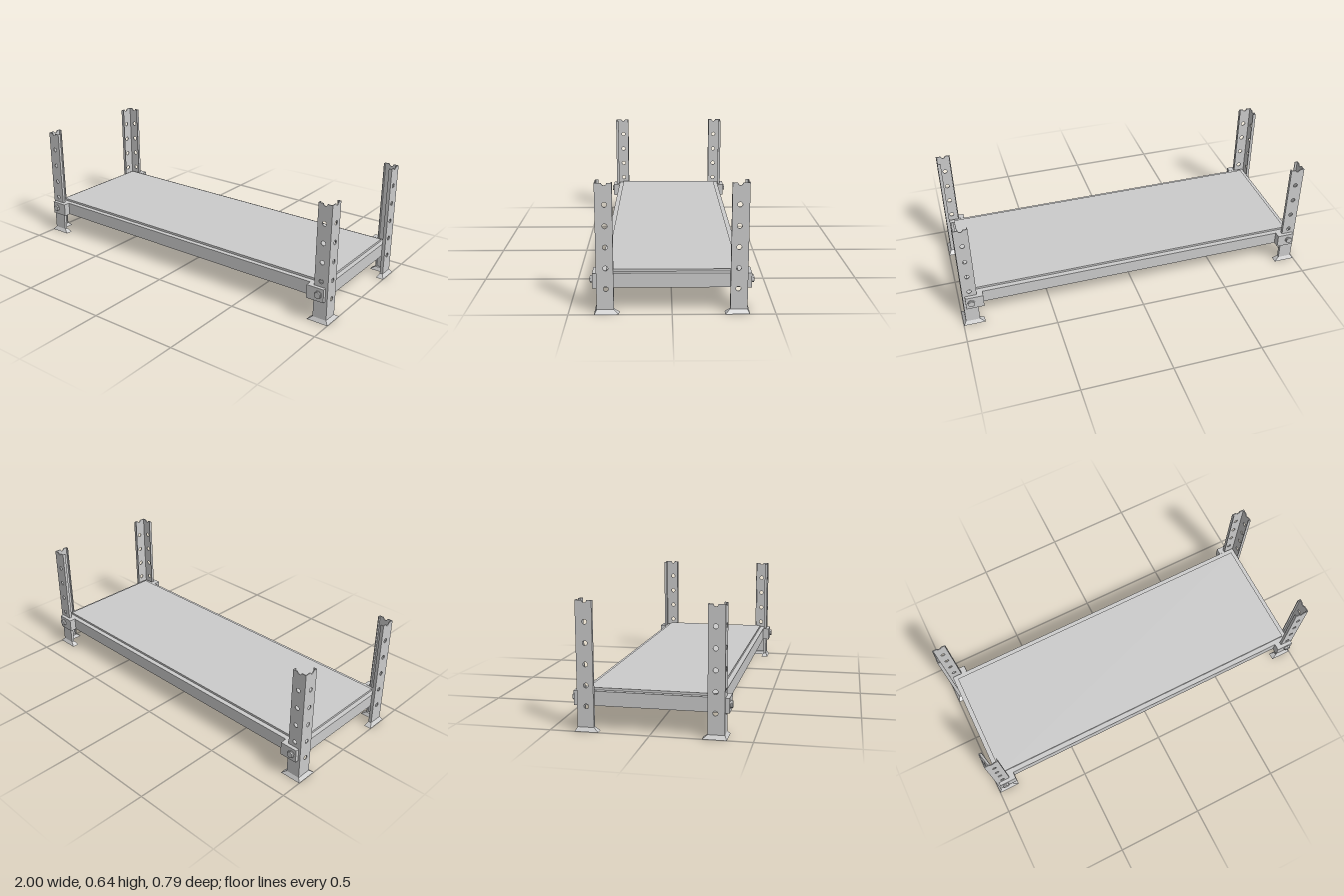
import * as THREE from 'three';

const material = new THREE.MeshStandardMaterial({ color: 0xcccccc, flatShading: true, side: THREE.DoubleSide });
const SHEET = 0.005, FOOT = 0.02, TOP = 0.645, HOLE = 0.012;
const HOLES = [0.125, 0.229, 0.333, 0.437, 0.541];

// Box given by its minimum and maximum corners
function box(x0, x1, y0, y1, z0, z1) {
  return new THREE.BoxGeometry(x1 - x0, y1 - y0, z1 - z0)
    .translate((x0 + x1) / 2, (y0 + y1) / 2, (z0 + z1) / 2);
}

// Perforated strip from a to b, holes at c, half a hole notched into the top
function strip(a, b, c) {
  const s = new THREE.Shape();
  s.moveTo(a, FOOT);
  s.lineTo(b, FOOT);
  s.lineTo(b, TOP);
  s.lineTo(c + HOLE, TOP);
  s.absarc(c, TOP, HOLE, 0, -Math.PI, true);
  s.lineTo(a, TOP);
  for (const y of HOLES) {
    const h = new THREE.Path();
    h.absarc(c, y, HOLE, 0, Math.PI * 2, true);
    s.holes.push(h);
  }
  return new THREE.ExtrudeGeometry(s, { depth: SHEET, bevelEnabled: false, curveSegments: 10 });
}

// L outline in x and z: outer corner, arm ends, inner corner
function outline(x0, x1, z0, z1, tx, tz) {
  return [[x1, z1], [x1, z0], [x1 - tx, z0], [x1 - tx, z1 - tz], [x0, z1 - tz], [x0, z1]];
}

// Flared L-shaped foot lofted between two outlines
function footGeometry() {
  const low = outline(0.88, 1.0, 0.255, 0.375, 0.042, 0.04);
  const high = outline(0.907, 0.985, 0.28, 0.363, 0.018, 0.018);
  const pos = [], index = [];
  for (const [x, z] of low) pos.push(x, 0, z);
  for (const [x, z] of high) pos.push(x, FOOT, z);
  for (let i = 0; i < 6; i++) {
    const j = (i + 1) % 6;
    index.push(i, j, j + 6, i, j + 6, i + 6);
  }
  for (const [a, b, c] of [[0, 1, 2], [0, 2, 3], [0, 3, 4], [0, 4, 5]]) {
    index.push(a, c, b, a + 6, b + 6, c + 6);
  }
  const g = new THREE.BufferGeometry();
  g.setAttribute('position', new THREE.Float32BufferAttribute(pos, 3));
  g.setIndex(index);
  return g;
}

// Copy into another corner, restoring the winding after a single mirror
function mirrored(geometry, sx, sz) {
  const g = geometry.index ? geometry.toNonIndexed() : geometry.clone();
  const p = g.attributes.position;
  for (let i = 0; i < p.count; i++) p.setXYZ(i, p.getX(i) * sx, p.getY(i), p.getZ(i) * sz);
  if (sx * sz < 0) {
    const a = new THREE.Vector3(), b = new THREE.Vector3();
    for (let i = 0; i < p.count; i += 3) {
      a.fromBufferAttribute(p, i + 1);
      b.fromBufferAttribute(p, i + 2);
      p.setXYZ(i + 1, b.x, b.y, b.z);
      p.setXYZ(i + 2, a.x, a.y, a.z);
    }
  }
  g.computeVertexNormals();
  return g;
}

export function createModel() {
  const model = new THREE.Group();
  model.name = 'shelfUnit';
  const add = (parent, name, geometry) => {
    const mesh = new THREE.Mesh(geometry, material);
    mesh.name = name;
    parent.add(mesh);
  };

  // Shelf: deep tray with a slightly smaller raised deck
  add(model, 'shelfFrame', box(-0.965, 0.965, 0.125, 0.198, -0.345, 0.345));
  add(model, 'shelfDeck', box(-0.94, 0.94, 0.198, 0.21, -0.318, 0.318));

  // Parts of the front left corner
  const sidePlate = strip(-0.363, -0.28, -0.317).rotateY(Math.PI / 2).translate(0.98, 0, 0);
  const bolt = (r, sides, z0, z1) => new THREE.CylinderGeometry(r, r, z1 - z0, sides)
    .rotateX(Math.PI / 2).translate(0.943, 0.163, (z0 + z1) / 2);
  const parts = {
    postFrontPlate: strip(0.907, 0.985, 0.945).translate(0, 0, 0.363 - SHEET),
    postSidePlate: sidePlate,
    postFrontLip: box(0.907, 0.907 + SHEET, FOOT, TOP, 0.346, 0.363),
    postSideLip: box(0.967, 0.985, FOOT, TOP, 0.28, 0.28 + SHEET),
    foot: footGeometry(),
    bracketPlate: box(0.875, 0.973, 0.125, 0.199, 0.363, 0.383),
    bracketSpacer: box(0.875, 0.907, 0.125, 0.199, 0.345, 0.363),
    boltWasher: bolt(0.02, 20, 0.383, 0.386),
    boltHead: bolt(0.019, 6, 0.386, 0.395),
  };

  // Repeat at all four corners
  for (const sx of [1, -1]) {
    for (const sz of [1, -1]) {
      const corner = new THREE.Group();
      corner.name = (sz > 0 ? 'front' : 'back') + (sx > 0 ? 'Left' : 'Right') + 'Corner';
      for (const [name, g] of Object.entries(parts)) add(corner, name, mirrored(g, sx, sz));
      model.add(corner);
    }
  }
  return model;
}
